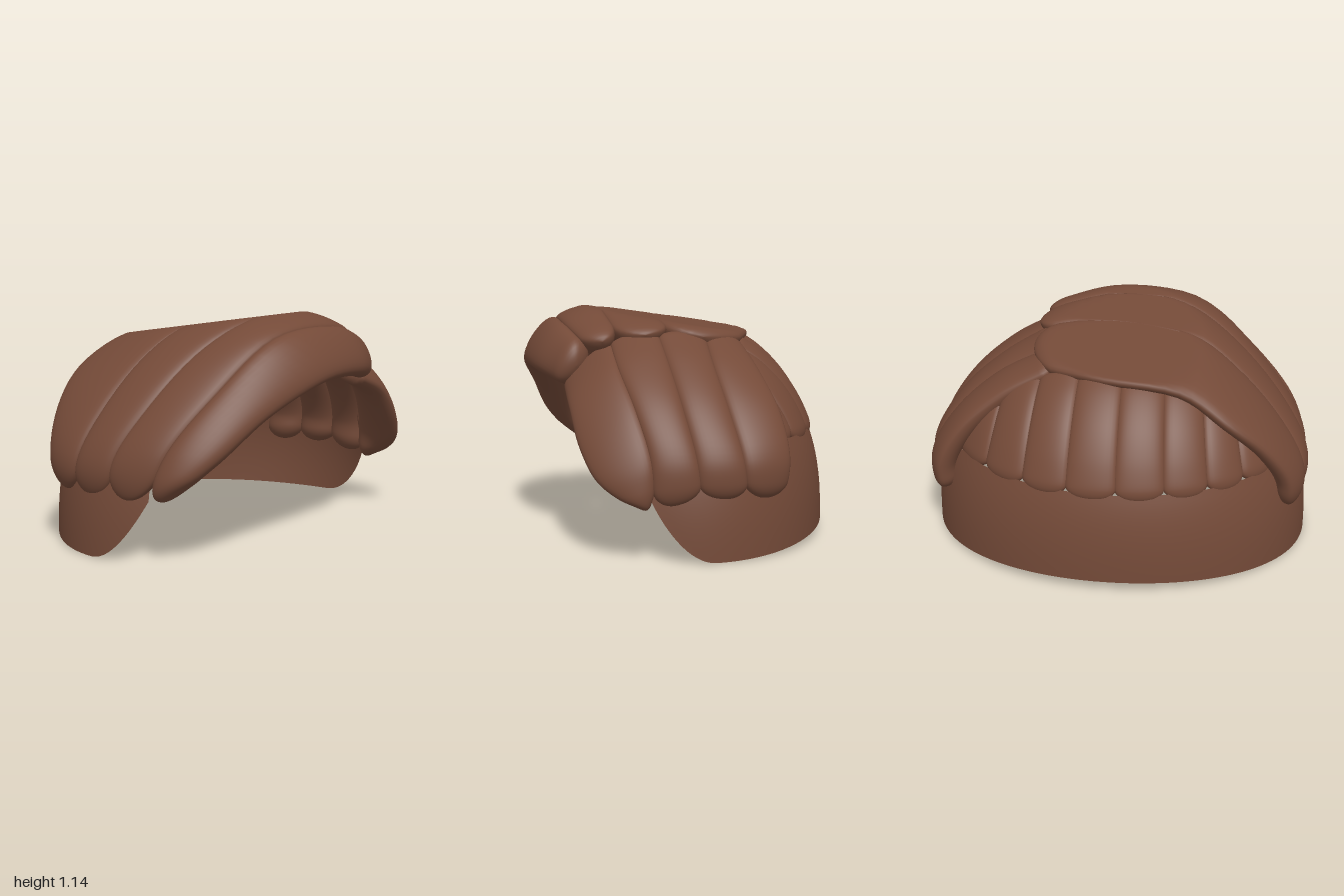
import * as THREE from 'three';

const hairBrown = new THREE.MeshStandardMaterial({ color: 0x744a38, side: THREE.DoubleSide });
hairBrown.name = 'hairBrown';

const toCurve = (pts) => new THREE.CatmullRomCurve3(pts.map((p) => new THREE.Vector3(...p)));

// Grid of points (rows x cols) to a smooth mesh; wrap joins the last column to the first
function gridMesh(name, rows, cols, wrap, pointAt) {
  const pos = [], idx = [];
  for (let i = 0; i <= rows; i++)
    for (let j = 0; j < cols; j++) pos.push(...pointAt(i, j));
  for (let i = 0; i < rows; i++)
    for (let j = 0; j < (wrap ? cols : cols - 1); j++) {
      const k = (j + 1) % cols;
      const a = i * cols + j, b = i * cols + k, c = a + cols, d = b + cols;
      idx.push(a, b, c, b, d, c);
    }
  const geo = new THREE.BufferGeometry();
  geo.setAttribute('position', new THREE.Float32BufferAttribute(pos, 3));
  geo.setIndex(idx);
  geo.computeVertexNormals();
  const mesh = new THREE.Mesh(geo, hairBrown);
  mesh.name = name;
  return mesh;
}

// Plump lock of hair between two seam curves, rounded at both ends
function lock(name, seamA, seamB, height, depth, tipLength = 0.12) {
  const A = toCurve(seamA), B = toCurve(seamB);
  const rows = 44, cols = 32, centre = new THREE.Vector3(0, 0.3, 0);
  const rings = [];
  for (let i = 0; i <= rows; i++) {
    const t = 0.5 - 0.5 * Math.cos((Math.PI * i) / rows);
    const a = A.getPoint(t), b = B.getPoint(t);
    const mid = a.clone().add(b).multiplyScalar(0.5);
    const half = b.clone().sub(a).multiplyScalar(0.53);
    const along = A.getTangent(t).add(B.getTangent(t));
    const up = half.clone().cross(along).normalize();
    const flip = up.dot(mid.clone().sub(centre)) < 0;
    if (flip) up.negate();
    const e = Math.max(0, (t - 1 + tipLength) / tipLength, (0.05 - t) / 0.05);
    const taper = Math.max(0.002, Math.sqrt(Math.max(0, 1 - e * e)));
    rings.push({ mid, half, up, taper, dir: flip ? -1 : 1 });
  }
  return gridMesh(name, rows, cols, true, (i, j) => {
    const { mid, half, up, taper, dir } = rings[i];
    const w = (dir * j * Math.PI * 2) / cols;
    const s = Math.sin(w);
    const p = mid.clone()
      .addScaledVector(half, Math.cos(w) * taper)
      .addScaledVector(up, taper * (s > 0 ? height * Math.pow(s, 0.8) : depth * s));
    // the crown is flattened along a sloping plane
    return [p.x, Math.min(p.y, 1.066 + 0.155 * p.z), p.z];
  });
}

// Rounded head profile of the nape shell
const headScale = (y) => Math.sqrt(1 - Math.pow(y / 1.08, 2.5));
function headPoint(angle, y) {
  const s = headScale(y);
  return [0.985 * s * Math.cos(angle), y, -0.77 * s * Math.sin(angle)];
}

// Seam down the back of the head, from under the crown to the tip at side offset x
function backSeam(x) {
  const zEnd = -0.755 * Math.sqrt(0.856 - (x / 0.96) ** 2);
  return [0, 0.2, 0.4, 0.6, 0.8, 1].map((t) => {
    const px = x * (0.85 + 0.15 * t);
    const pz = zEnd * (0.42 + 0.58 * Math.sin((t * Math.PI) / 2));
    const s2 = (px / 0.96) ** 2 + (pz / 0.755) ** 2;
    return [px, 1.06 * Math.pow(1 - s2, 0.4), pz];
  });
}

export function createModel() {
  const hair = new THREE.Group();
  hair.name = 'hair';

  // Nape shell, open at the front, with swept-back lower corners
  const shellRows = 24, shellCols = 65;
  hair.add(gridMesh('napeShell', shellRows, shellCols, false, (i, j) => {
    const v = i / shellRows;
    const y = 0.53 * v * v;
    const reach = Math.min(0.36, -0.05 + 0.75 * Math.sqrt(y));
    const angle = -reach + ((Math.PI + 2 * reach) * j) / (shellCols - 1);
    const p = headPoint(angle, y);
    p[1] += 0.065 * Math.max(0, Math.sin(angle)) ** 2 * (1 - v * v);
    return p;
  }));

  // Long locks swept from the parting across the crown to the right side
  const rightSeams = [
    [[0.42, 0.78, 0.59], [0.2, 0.83, 0.7], [-0.15, 0.83, 0.73], [-0.5, 0.69, 0.66], [-0.76, 0.5, 0.57], [-0.92, 0.33, 0.43]],
    [[0.43, 0.97, 0.5], [0.1, 1.05, 0.575], [-0.35, 1.02, 0.56], [-0.65, 0.79, 0.47], [-0.87, 0.53, 0.36], [-0.93, 0.3, 0.28]],
    [[0.45, 1.01, 0.34], [0, 1.12, 0.38], [-0.3, 1.08, 0.35], [-0.55, 0.94, 0.26], [-0.8, 0.69, 0.16], [-0.935, 0.47, 0.08], [-0.945, 0.29, 0.05]],
    [[0.46, 1.03, 0.08], [0, 1.08, 0.12], [-0.37, 1.045, 0.03], [-0.59, 0.91, -0.04], [-0.81, 0.68, -0.1], [-0.935, 0.46, -0.15], [-0.935, 0.29, -0.18]],
    [[0.42, 0.98, -0.25], [0.05, 0.99, -0.38], [-0.35, 0.96, -0.43], [-0.58, 0.83, -0.49], [-0.77, 0.66, -0.45], [-0.88, 0.46, -0.39], [-0.87, 0.29, -0.36]],
  ];
  [0.07, 0.045, 0.045, 0.05].forEach((h, i) =>
    hair.add(lock(i === 0 ? 'fringeRoll' : `rightLock${i}`, rightSeams[i], rightSeams[i + 1], h, 0.09)));

  // Short locks falling from the parting to the left side
  const leftSeams = [
    [[0.34, 0.78, 0.59], [0.58, 0.68, 0.59], [0.75, 0.51, 0.56], [0.86, 0.37, 0.49], [0.93, 0.25, 0.33]],
    [[0.35, 0.98, 0.37], [0.58, 0.86, 0.36], [0.79, 0.68, 0.31], [0.92, 0.46, 0.26], [0.93, 0.25, 0.25]],
    [[0.37, 1.02, 0.14], [0.6, 0.87, 0.12], [0.81, 0.68, 0.09], [0.94, 0.46, 0.05], [0.945, 0.29, 0.03]],
    [[0.35, 1.0, -0.1], [0.6, 0.86, -0.1], [0.81, 0.67, -0.13], [0.94, 0.46, -0.17], [0.935, 0.29, -0.19]],
    [[0.3, 0.97, -0.28], [0.57, 0.83, -0.33], [0.77, 0.66, -0.38], [0.88, 0.46, -0.4], [0.87, 0.28, -0.38]],
  ];
  for (let i = 0; i < 4; i++)
    hair.add(lock(`leftLock${i + 1}`, leftSeams[i], leftSeams[i + 1], 0.048, 0.09));

  // Row of petal-like locks around the back of the head
  const backSeams = [-0.81, -0.67, -0.5, -0.29, -0.05, 0.2, 0.43, 0.64, 0.81].map(backSeam);
  for (let i = 0; i < backSeams.length - 1; i++)
    hair.add(lock(`backLock${i + 1}`, backSeams[i], backSeams[i + 1], 0.042, 0.045, 0.25));

  return hair;
}
